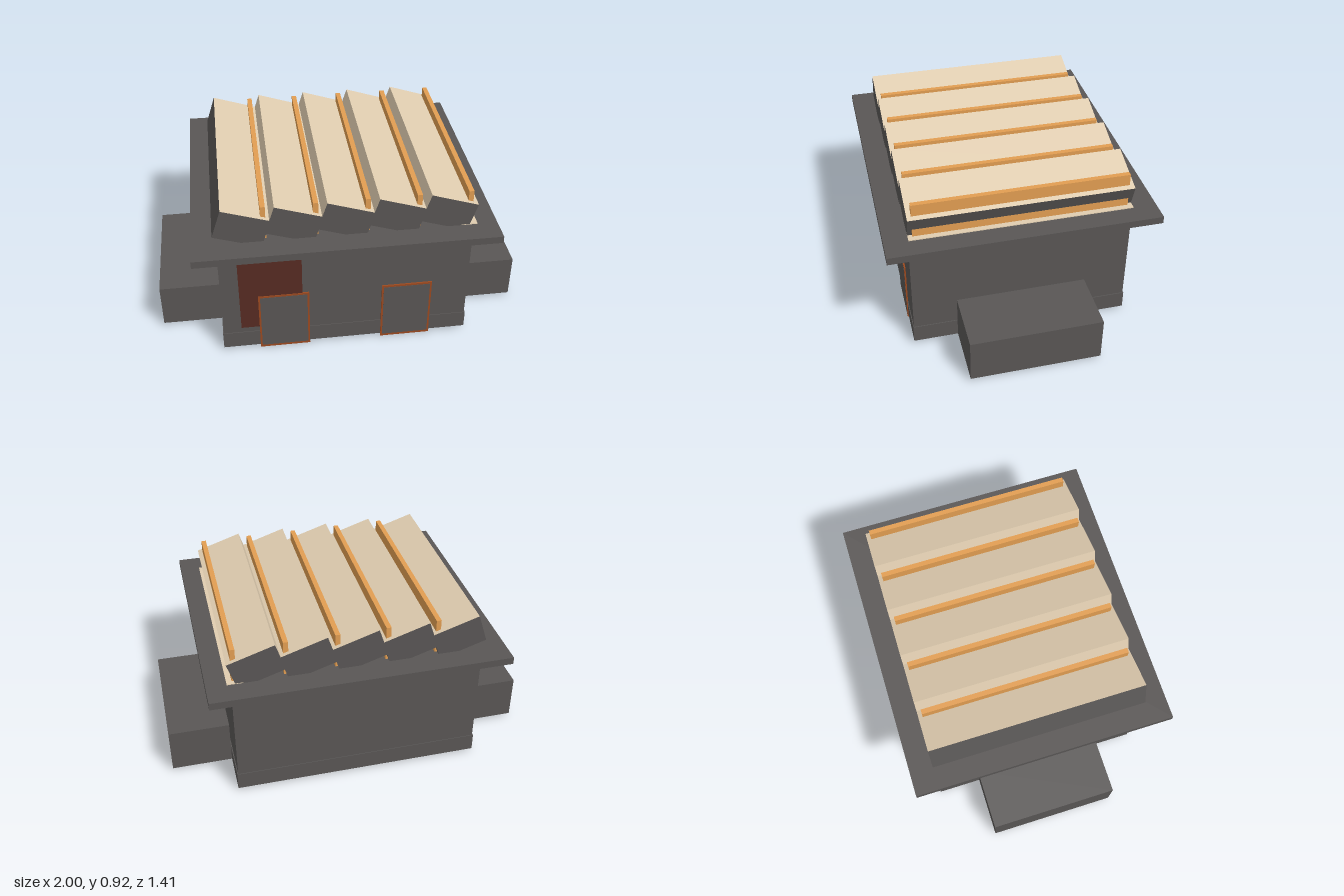
import * as THREE from 'three';

export function createModel() {
  const model = new THREE.Group();
  model.name = 'sawtoothFactory';

  const paint = (name, color) => {
    const m = new THREE.MeshStandardMaterial({ color });
    m.name = name;
    return m;
  };
  const concrete = paint('darkConcrete', 0x595655);
  const tan = paint('tanRoofing', 0xe0cdb0);
  const wood = paint('orangeTimber', 0xe29e52);
  const rust = paint('rustPanel', 0x572b22);
  const copper = paint('copperFrame', 0x9c4a20);
  const black = paint('blackUnderside', 0x000000);

  // Box given by its lower and upper limits on each axis
  const block = (name, material, [x0, x1], [y0, y1], [z0, z1]) => {
    const mesh = new THREE.Mesh(new THREE.BoxGeometry(x1 - x0, y1 - y0, z1 - z0), material);
    mesh.position.set((x0 + x1) / 2, (y0 + y1) / 2, (z0 + z1) / 2);
    mesh.name = name;
    model.add(mesh);
  };

  // Parts that touch the ground have a black bottom face (order: +x -x +y -y +z -z)
  const grounded = [concrete, concrete, concrete, black, concrete, concrete];

  // Main hall, plinth and overhanging roof slab
  block('walls', concrete, [-0.665, 0.665], [0.1, 0.69], [-0.585, 0.585]);
  block('plinth', grounded, [-0.67, 0.67], [0.016, 0.115], [-0.589, 0.589]);
  block('roofSlab', concrete, [-0.79, 0.79], [0.682, 0.722], [-0.707, 0.707]);
  block('roofFlashing', tan, [0.6, 0.684], [0.718, 0.726], [-0.583, 0.583]);

  // Low side wings
  block('leftWing', grounded, [0.67, 1], [0.016, 0.264], [-0.35, 0.35]);
  block('rightWing', grounded, [-1, -0.67], [0.016, 0.264], [-0.35, 0.35]);

  // Sawtooth roof: tilted blocks, each with a timber rail near its low edge
  const pitch = 0.2658;
  for (let i = -2; i <= 2; i++) {
    const rearFace = i === -2 ? concrete : tan;
    const tooth = new THREE.Mesh(
      new THREE.BoxGeometry(0.26, 0.163, 1.166),
      [concrete, rearFace, tan, concrete, concrete, concrete]
    );
    tooth.position.set(i * pitch, 0.806, 0);
    tooth.rotation.z = -0.316;
    tooth.name = 'roofTooth';
    model.add(tooth);

    const x = i * pitch + 0.111;
    block('roofRail', wood, [x - 0.0125, x + 0.0135], [0.7, 0.915], [-0.56, 0.56]);
  }

  // Rust-coloured panel on the front wall
  block('frontPanel', rust, [-0.568, -0.234], [0.15, 0.613], [0.58, 0.591]);

  // Two doors with thin copper borders
  for (const [x0, x1] of [[-0.47, -0.198], [0.194, 0.466]]) {
    block('doorFrame', copper, [x0, x1], [0, 0.362], [0.586, 0.594]);
    block('doorLeaf', concrete, [x0 + 0.01, x1 - 0.01], [0.014, 0.351], [0.59, 0.595]);
  }

  return model;
}
